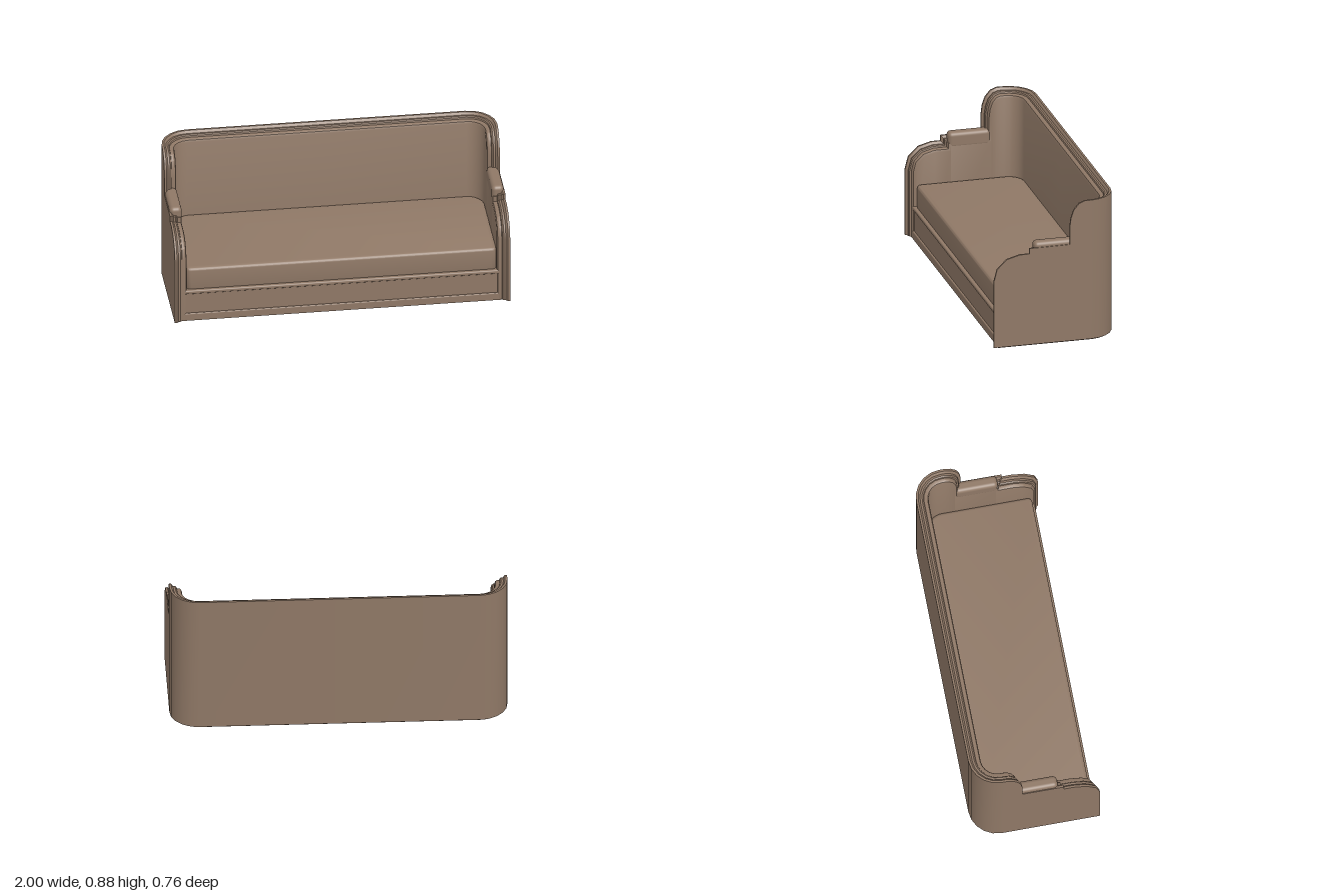
import * as THREE from 'three';
import { toCreasedNormals } from 'three/addons/utils/BufferGeometryUtils.js';
import { RoundedBoxGeometry } from 'three/addons/geometries/RoundedBoxGeometry.js';

const material = new THREE.MeshStandardMaterial({ color: 0x8f7866, side: THREE.DoubleSide });

// U-shaped plan of the wall: side, rounded corner, half of the back
const FRONT = 0.38, R = 0.17, CX = 0.83, CZ = -0.21;
const SIDE = FRONT - CZ, ARC = R * Math.PI / 2, HALF = SIDE + ARC + CX;

// Maps distance s along the wall, depth t into it and height y to 3D
function bend(s, t, y) {
  if (s > HALF) {
    const [x, , z] = bend(2 * HALF - s, t, y);
    return [-x, y, z];
  }
  if (s <= SIDE) return [1 - t, y, FRONT - s];
  if (s < SIDE + ARC) {
    const a = (s - SIDE) / R;
    return [CX + (R - t) * Math.cos(a), y, CZ - (R - t) * Math.sin(a)];
  }
  return [CX - (s - SIDE - ARC), y, CZ - R + t];
}

// Silhouette of the unrolled wall as [s, y], mirrored about the middle of the back
function silhouette(y0) {
  const half = [
    [0.38, y0], [0.38, 0.42], [0.36, 0.497], [0.30, 0.555], [0.22, 0.577], [0.163, 0.577],
    [0.163, 0.611], [-0.085, 0.613], [-0.085, 0.72], [-0.092, 0.775], [-0.11, 0.827],
    [-0.143, 0.866], [-0.18, 0.88],
  ].map(([z, y]) => [FRONT - z, y]);
  for (let k = 0; k <= 5; k++) half.push([SIDE + ARC * k / 5, 0.88]);
  half.push([HALF, 0.88]);
  return [...half, ...half.slice(0, -1).reverse().map(([s, y]) => [2 * HALF - s, y])];
}

// Miter direction at each silhouette point, pointing into the wall
function inwardMiters(pts) {
  const normal = (a, b) => {
    const l = Math.hypot(b[0] - a[0], b[1] - a[1]);
    return [(b[1] - a[1]) / l, -(b[0] - a[0]) / l];
  };
  return pts.map((p, i) => {
    const n1 = i > 0 ? normal(pts[i - 1], p) : normal(p, pts[1]);
    const n2 = i < pts.length - 1 ? normal(p, pts[i + 1]) : n1;
    const k = 1 + n1[0] * n2[0] + n1[1] * n2[1];
    return [(n1[0] + n2[0]) / k, (n1[1] + n2[1]) / k];
  });
}

// Wall with a stepped moulding running round its whole edge
function wallGeometry() {
  const y0 = 0.006;
  const moulding = [ // depth into the wall, inset from the edge
    [0, 0], [0.013, 0], [0.02, 0.007], [0.024, 0.015], [0.036, 0.014], [0.044, 0.019],
    [0.047, 0.028], [0.06, 0.028], [0.07, 0.034], [0.075, 0.046],
  ];
  const pts = silhouette(y0), dirs = inwardMiters(pts);
  const n = moulding.length + 2, pos = [], index = [];
  pts.forEach(([s, y], i) => {
    const [ds, dy] = dirs[i];
    const ring = moulding.map(([t, d]) => [s + ds * d, t, y + dy * d]);
    const [sIn, tIn] = ring[ring.length - 1];
    for (const p of [[s, 0, y0], ...ring, [sIn, tIn, y0]]) pos.push(...bend(...p));
  });
  for (let i = 0; i < pts.length - 1; i++) {
    for (let j = 0; j < n; j++) {
      const a = i * n + j, b = i * n + (j + 1) % n;
      index.push(a, a + n, b + n, a, b + n, b);
    }
  }
  // underside of the moulding at both front ends
  const last = (pts.length - 1) * n;
  for (let j = 1; j < n - 1; j++) {
    index.push(0, j, j + 1, last, last + j + 1, last + j);
  }
  const g = new THREE.BufferGeometry();
  g.setAttribute('position', new THREE.Float32BufferAttribute(pos, 3));
  g.setIndex(index);
  return toCreasedNormals(g, 0.62);
}

// Slab with rounded back corners and a softened edge
function slabGeometry(halfWidth, front, back, radius, bottom, top, bevel, frontRadius = 0.001) {
  const w = halfWidth, r = radius, f = frontRadius;
  const shape = new THREE.Shape();
  shape.moveTo(-w + f, front);
  shape.lineTo(w - f, front);
  shape.quadraticCurveTo(w, front, w, front - f);
  shape.lineTo(w, back + r);
  shape.absarc(w - r, back + r, r, 0, -Math.PI / 2, true);
  shape.absarc(-w + r, back + r, r, -Math.PI / 2, -Math.PI, true);
  shape.lineTo(-w, front - f);
  shape.quadraticCurveTo(-w, front, -w + f, front);
  const g = new THREE.ExtrudeGeometry(shape, {
    depth: top - bottom - 2 * bevel, bevelEnabled: bevel > 0, bevelSize: bevel,
    bevelThickness: bevel, bevelOffset: -bevel, bevelSegments: 4, curveSegments: 6,
  });
  g.rotateX(Math.PI / 2).translate(0, top - bevel, 0);
  return toCreasedNormals(g, 0.6);
}

export function createModel() {
  const group = new THREE.Group();
  const add = (name, geometry, x = 0, y = 0, z = 0) => {
    const mesh = new THREE.Mesh(geometry, material);
    mesh.name = name;
    mesh.position.set(x, y, z);
    group.add(mesh);
  };

  add('backAndArms', wallGeometry());

  // armrest pads
  for (const side of [1, -1]) {
    add(side > 0 ? 'leftArmrest' : 'rightArmrest',
      new RoundedBoxGeometry(0.072, 0.1, 0.26, 4, 0.025), side * 0.96, 0.593, 0);
  }

  // seat
  add('seatCushion', slabGeometry(0.925, 0.33, -0.31, 0.1, 0.19, 0.342, 0.018, 0.03));

  // base: sole, recessed front panel, plinth and top rail
  add('sole', slabGeometry(0.99, 0.35, -0.372, 0.165, 0, 0.012, 0));
  add('frontPanel', new THREE.BoxGeometry(1.91, 0.19, 0.6), 0, 0.1, 0.04);
  add('plinth', new RoundedBoxGeometry(1.914, 0.046, 0.05, 3, 0.006), 0, 0.024, 0.325);
  add('topRail', new RoundedBoxGeometry(1.914, 0.024, 0.1, 3, 0.008), 0, 0.19, 0.3);

  return group;
}
